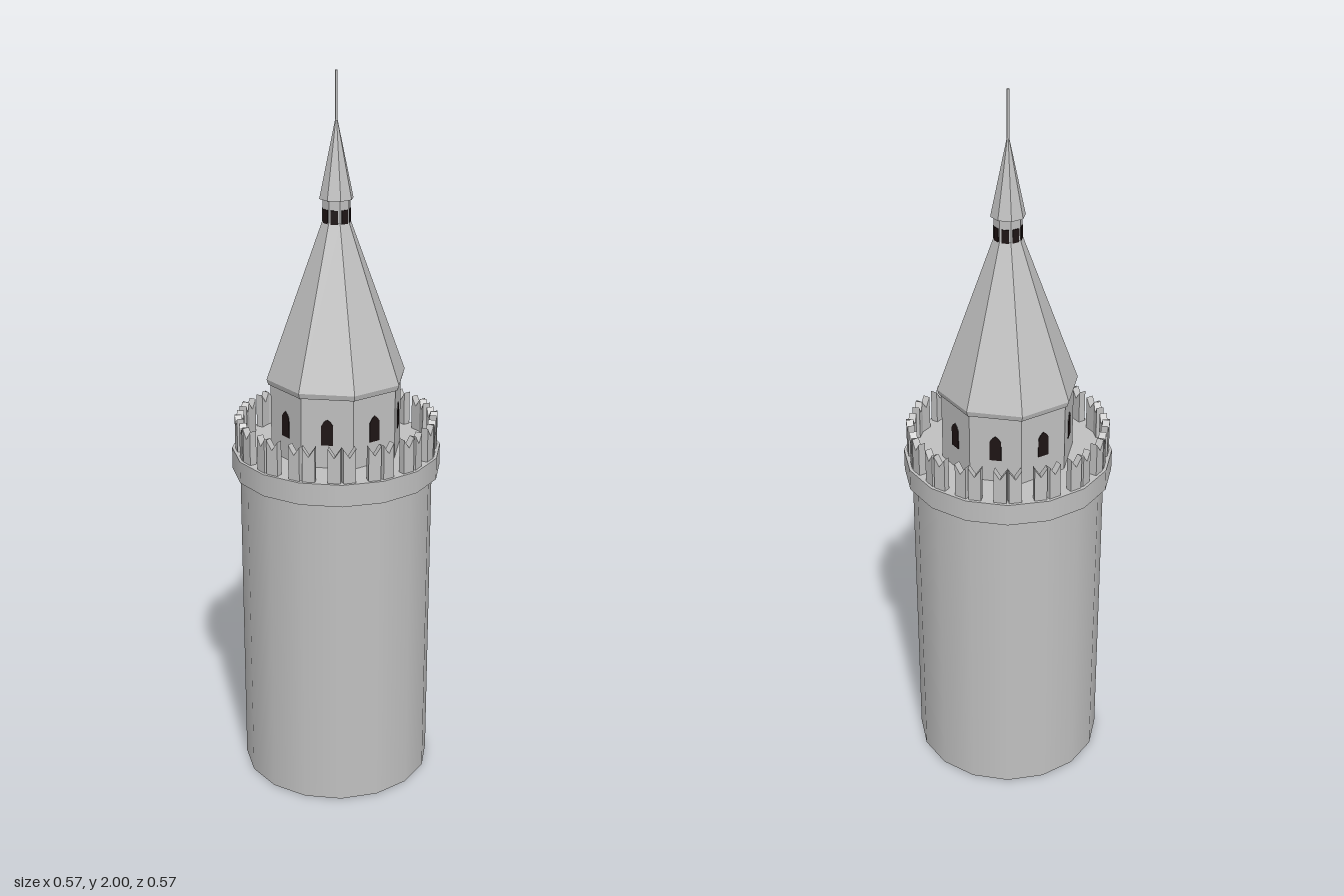
import * as THREE from 'three';

export function createModel() {
  const tower = new THREE.Group();
  const stone = new THREE.MeshStandardMaterial({ color: 0xc0c0c0, side: THREE.DoubleSide });
  const dark = new THREE.MeshStandardMaterial({ color: 0x1e1414 });
  stone.name = 'stone';
  dark.name = 'darkOpening';

  const add = (name, geometry, material = stone, parent = tower) => {
    const mesh = new THREE.Mesh(geometry, material);
    mesh.name = name;
    parent.add(mesh);
    return mesh;
  };

  // Prism or frustum with a flat side to the front, sized by apothem
  const prism = (sides, bottom, top, y0, y1, { open = false, flat = true } = {}) => {
    const k = 1 / Math.cos(Math.PI / sides);
    let g = new THREE.CylinderGeometry(top * k, bottom * k, y1 - y0, sides, 1, open);
    g.rotateY(Math.PI / sides).translate(0, (y0 + y1) / 2, 0);
    if (flat) {
      g = g.toNonIndexed();
      g.computeVertexNormals();
    }
    return g;
  };

  // Places copies around the axis, one pivot for each side
  const around = (name, count, build) => {
    const ring = new THREE.Group();
    ring.name = name;
    for (let i = 0; i < count; i++) {
      const pivot = new THREE.Group();
      pivot.name = name + 'Side';
      pivot.rotation.y = (i * 2 * Math.PI) / count;
      build(pivot);
      ring.add(pivot);
    }
    tower.add(ring);
  };

  // Round shaft, open below, with the projecting gallery
  add('shaft', prism(16, 0.263, 0.263, 0, 0.94, { open: true, flat: false }));
  add('gallery', prism(16, 0.284, 0.284, 0.913, 0.975, { flat: false }));

  // Swallowtail battlements, two on each side of the gallery
  const merlonShape = new THREE.Shape([
    [-0.017, 0], [0.017, 0], [0.017, 0.098], [0, 0.072], [-0.017, 0.098],
  ].map(([x, y]) => new THREE.Vector2(x, y)));
  const merlonGeo = new THREE.ExtrudeGeometry(merlonShape, { depth: 0.02, bevelEnabled: false });
  around('battlements', 16, (pivot) => {
    for (const x of [-0.034, 0.034]) {
      add('merlon', merlonGeo, stone, pivot).position.set(x, 0.973, 0.256);
    }
  });

  // Eight-sided drum, eaves and spire
  add('drum', prism(8, 0.17, 0.17, 0.97, 1.175));
  add('eaves', prism(8, 0.176, 0.18, 1.17, 1.185));
  add('spireRoof', prism(8, 0.18, 0.036, 1.185, 1.61));

  // Pointed drum windows
  const windowShape = new THREE.Shape([
    [-0.016, 0], [0.016, 0], [0.016, 0.055], [0.009, 0.066], [0, 0.073], [-0.009, 0.066], [-0.016, 0.055],
  ].map(([x, y]) => new THREE.Vector2(x, y)));
  const windowGeo = new THREE.ExtrudeGeometry(windowShape, { depth: 0.004, bevelEnabled: false });
  around('drumWindows', 8, (pivot) => {
    add('drumWindow', windowGeo, dark, pivot).position.set(0, 1.04, 0.168);
  });

  // Lantern with its openings
  add('lantern', prism(8, 0.035, 0.035, 1.605, 1.675));
  const openingGeo = new THREE.BoxGeometry(0.02, 0.038, 0.004);
  around('lanternOpenings', 8, (pivot) => {
    add('lanternOpening', openingGeo, dark, pivot).position.set(0, 1.625, 0.035);
  });

  // Upper cone and finial
  add('lanternRoof', prism(8, 0.043, 0.001, 1.67, 1.885));
  add('finial', prism(6, 0.003, 0.003, 1.86, 2, { flat: false }));

  return tower;
}
